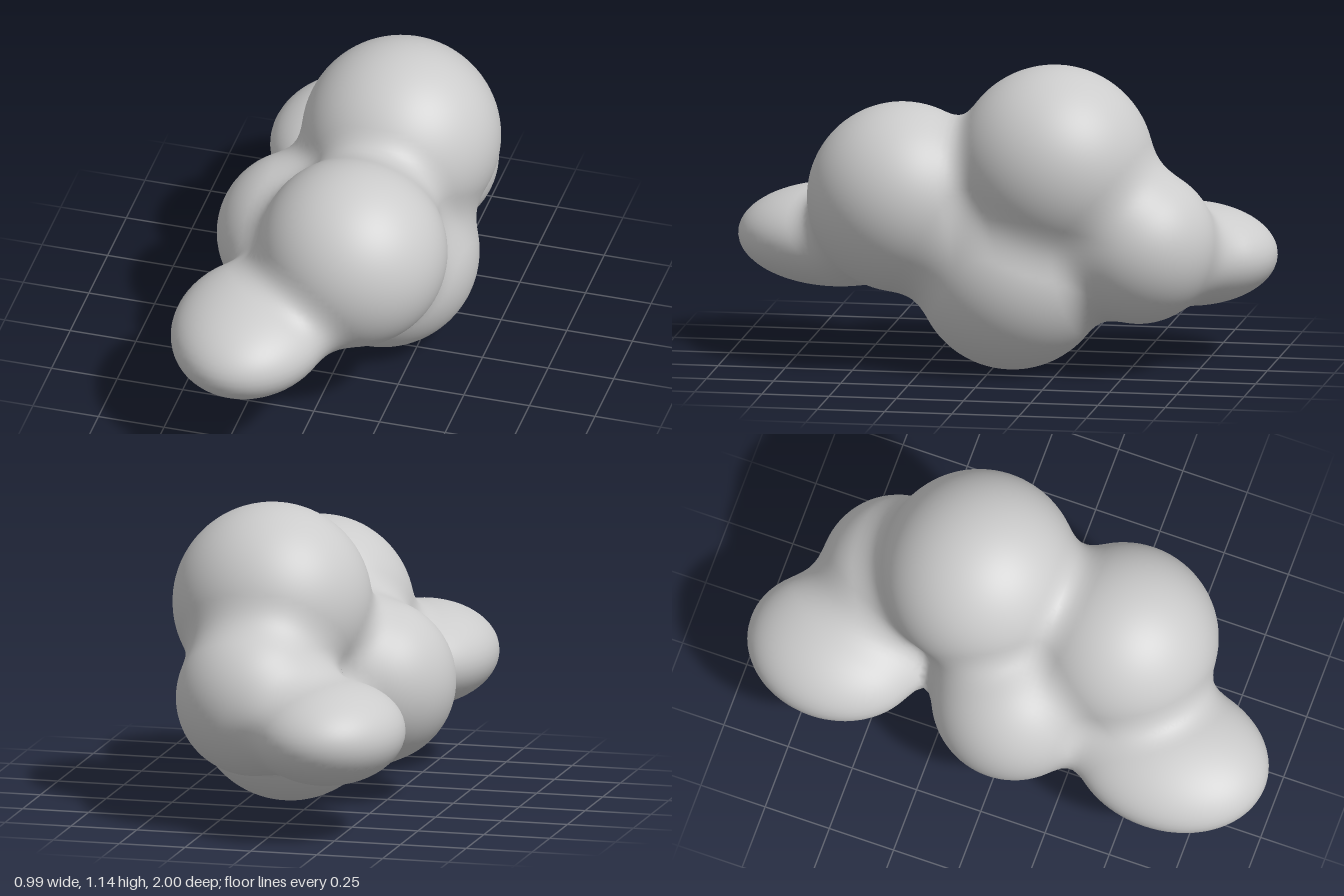
import * as THREE from 'three';

// Puffs of the cloud: centre, then radii
const PUFFS = [
  { c: [0.125, 0.77, -0.23], r: [0.366, 0.366, 0.366] },  // top
  { c: [0.10, 0.625, 0.34], r: [0.35, 0.35, 0.35] },      // front
  { c: [0.10, 0.355, -0.07], r: [0.355, 0.355, 0.355] },  // bottom
  { c: [-0.19, 0.44, 0.02], r: [0.305, 0.305, 0.305] },   // right side
  { c: [0.11, 0.475, -0.54], r: [0.288, 0.288, 0.288] },  // back
  { c: [-0.20, 0.42, 0.63], r: [0.29, 0.19, 0.37] },      // flat front tip
  { c: [-0.205, 0.39, -0.67], r: [0.28, 0.19, 0.33] },    // flat back tip
];
const BLEND = 0.11;
const STEP = 0.025;

// Approximate signed distance to one ellipsoid
function puffDistance(p, { c, r }) {
  const d = [0, 1, 2].map((i) => (p[i] - c[i]) / r[i]);
  const k0 = Math.hypot(...d);
  const k1 = Math.hypot(d[0] / r[0], d[1] / r[1], d[2] / r[2]);
  return k1 < 1e-6 ? -Math.min(...r) : (k0 * (k0 - 1)) / k1;
}

// All puffs joined with soft creases
function field(p) {
  let f = Infinity;
  for (const puff of PUFFS) {
    const d = puffDistance(p, puff);
    const h = Math.max(BLEND - Math.abs(f - d), 0);
    f = Math.min(f, d) - (h * h) / (4 * BLEND);
  }
  return f;
}

function gradient(p) {
  const e = 0.002;
  return [0, 1, 2].map((i) => {
    const a = [...p], b = [...p];
    a[i] += e;
    b[i] -= e;
    return (field(a) - field(b)) / (2 * e);
  });
}

// Quad skin: one vertex per crossed grid cell, pulled onto the surface
function blobGeometry() {
  const min = [-0.6, -0.1, -1.1];
  const n = [1.2, 1.35, 2.2].map((s) => Math.round(s / STEP) + 1);
  const stride = [1, n[0], n[0] * n[1]];
  const at = (g, shift) => g.map((v, i) => min[i] + (v + shift) * STEP);
  const id = (g) => g[0] + g[1] * stride[1] + g[2] * stride[2];

  const values = new Float32Array(n[0] * n[1] * n[2]);
  const eachPoint = (fn) => {
    for (let z = 0; z < n[2]; z++)
      for (let y = 0; y < n[1]; y++)
        for (let x = 0; x < n[0]; x++) fn([x, y, z]);
  };
  eachPoint((g) => { values[id(g)] = field(at(g, 0)); });

  const positions = [], normals = [], indices = [];
  const known = new Map();
  const vertex = (g) => {
    const key = id(g);
    if (known.has(key)) return known.get(key);
    let p = at(g, 0.5);
    for (let k = 0; k < 4; k++) {
      const grad = gradient(p);
      const len2 = Math.max(grad[0] ** 2 + grad[1] ** 2 + grad[2] ** 2, 0.1);
      const f = field(p);
      p = p.map((v, i) => v - (f * grad[i]) / len2);
    }
    const grad = gradient(p);
    const len = Math.hypot(...grad) || 1;
    positions.push(...p);
    normals.push(...grad.map((v) => v / len));
    known.set(key, known.size);
    return known.size - 1;
  };

  eachPoint((g) => {
    for (let a = 0; a < 3; a++) {
      const b = (a + 1) % 3, c = (a + 2) % 3;
      if (g[a] + 1 >= n[a] || g[b] < 1 || g[c] < 1) continue;
      const inside = values[id(g)] < 0;
      if (inside === values[id(g) + stride[a]] < 0) continue;
      const cell = (db, dc) => {
        const q = [...g];
        q[b] -= db;
        q[c] -= dc;
        return vertex(q);
      };
      const quad = [cell(0, 0), cell(1, 0), cell(1, 1), cell(0, 1)];
      if (!inside) quad.reverse();
      indices.push(quad[0], quad[1], quad[2], quad[0], quad[2], quad[3]);
    }
  });

  const geometry = new THREE.BufferGeometry();
  geometry.setAttribute('position', new THREE.Float32BufferAttribute(positions, 3));
  geometry.setAttribute('normal', new THREE.Float32BufferAttribute(normals, 3));
  geometry.setIndex(indices);
  return geometry;
}

export function createModel() {
  const group = new THREE.Group();
  group.name = 'cloud';
  const body = new THREE.Mesh(
    blobGeometry(),
    new THREE.MeshStandardMaterial({ color: 0xcccccc }),
  );
  body.name = 'cloudBody';
  group.add(body);
  return group;
}
